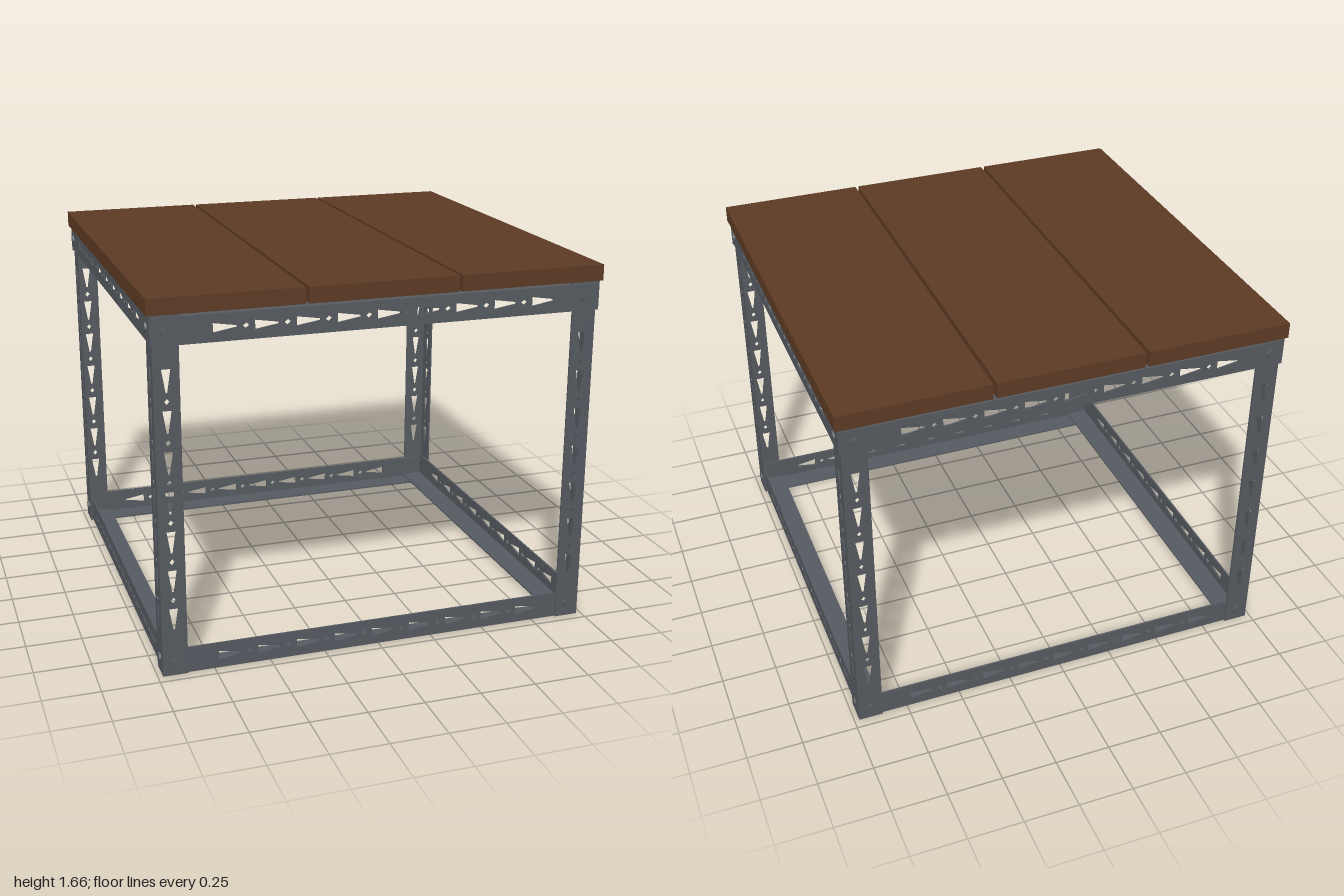
import * as THREE from 'three';

const T = 0.008; // sheet thickness of the angle irons

// Flat strip along x, outer face at z = 0, pierced by wedge slots and small holes
function strip(length, width, slotted, shift = 0) {
  const h = width / 2, l = length / 2, step = 0.175;
  const shape = new THREE.Shape([[-l, -h], [l, -h], [l, h], [-l, h]].map(p => new THREE.Vector2(...p)));
  const punch = pts => shape.holes.push(new THREE.Path(pts.map(p => new THREE.Vector2(...p))));
  if (slotted) {
    const n = Math.floor((l - 0.2) / step);
    for (let i = -n; i <= n; i++) {
      const x = i * step + shift, s = x + step / 2;
      punch([[x - 0.05, -0.02], [x - 0.05, 0.02], [x + 0.05, 0.004], [x + 0.05, -0.004]]);
      if (i < n) punch([[s - 0.014, 0], [s, 0.012], [s + 0.014, 0], [s, -0.012]]);
    }
  }
  const g = new THREE.ExtrudeGeometry(shape, { depth: T, bevelEnabled: false });
  return g.translate(0, 0, -T);
}

export function createModel() {
  const model = new THREE.Group();
  model.name = 'slottedAngleTable';
  const steel = new THREE.MeshStandardMaterial({ color: 0x555a60, name: 'grey steel' });
  const wood = new THREE.MeshStandardMaterial({ color: 0x5c3a23, name: 'dark brown wood' });

  function add(parent, name, geometry, material, x, y, z) {
    const mesh = new THREE.Mesh(geometry, material);
    mesh.name = name;
    mesh.position.set(x, y, z);
    parent.add(mesh);
    return mesh;
  }

  // Table top: three planks with narrow gaps
  for (const i of [-1, 0, 1]) {
    add(model, 'plank', new THREE.BoxGeometry(0.656, 0.07, 1.945), wood, i * 0.672, 1.623, 0);
  }

  // Four sides, each with its rails and the outer leg flanges
  const sideNames = ['front', 'left', 'back', 'right'];
  sideNames.forEach((name, k) => {
    const side = new THREE.Group();
    side.name = name + 'Side';
    side.rotation.y = k * Math.PI / 2;
    model.add(side);
    const odd = k % 2;
    const half = odd ? 0.957 : 0.978; // half length along this side
    const dist = odd ? 0.978 : 0.957; // distance of the leg face from the centre
    const lift = odd * 0.01;

    // Legs: one flange of each corner angle on this side
    for (const s of [-1, 1]) {
      const leg = add(side, 'legFlange', strip(1.57, 0.11, true), steel, s * (half - 0.055), 0.787, dist);
      leg.rotation.z = -Math.PI / 2;
    }

    // Top rail: upright flange outside the legs, flat flange under the planks
    add(side, 'topRail', strip(2 * half + 0.018, 0.117, true, 0.02), steel, 0, 1.518 + lift, dist + 0.009);
    const ledge = add(side, 'topRailLedge', strip(2 * half + 0.014, 0.125, true), steel, 0, 1.576 + lift, dist - 0.056);
    ledge.rotation.x = -Math.PI / 2;

    // Bottom rail: inside the legs, flat flange at the bottom
    add(side, 'bottomRail', strip(2 * half - 0.02, 0.117, true, 0.02), steel, 0, 0.06 + lift, dist - 0.009);
    const foot = add(side, 'bottomRailLedge', strip(2 * half - 0.024, 0.11, false), steel, 0, 0.01 + lift, dist - 0.066);
    foot.rotation.x = -Math.PI / 2;

    // Bolt heads at the joints
    for (const s of [-1, 1]) {
      for (const [y, z] of [[1.518 + lift, dist + 0.012], [0.062 + lift, dist + 0.003]]) {
        const bolt = add(side, 'bolt', new THREE.CylinderGeometry(0.02, 0.022, 0.01, 6), steel, s * (half - 0.055), y, z);
        bolt.rotation.x = Math.PI / 2;
      }
    }
  });
  return model;
}
